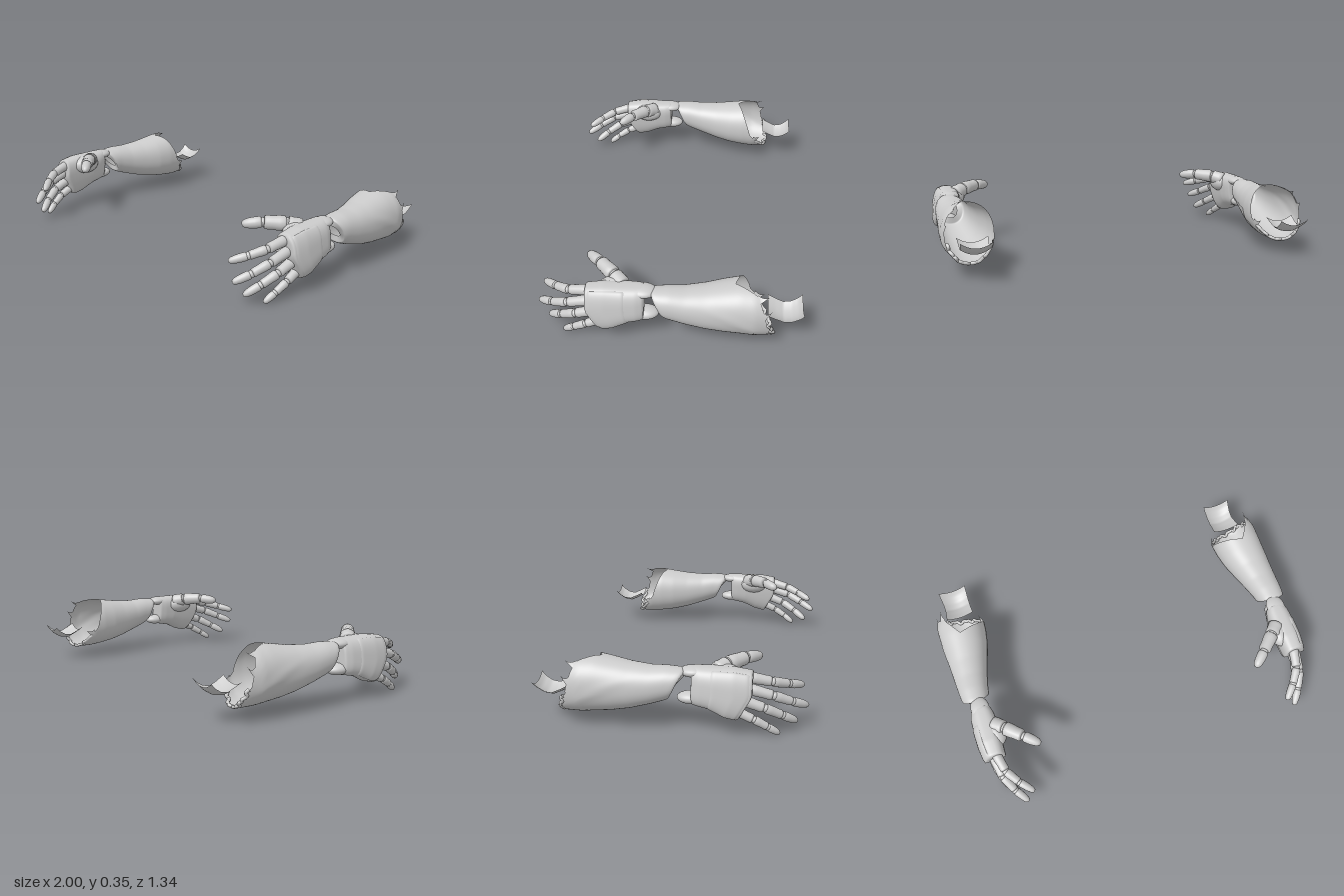
import * as THREE from 'three';
import { mergeVertices } from 'three/addons/utils/BufferGeometryUtils.js';

const V = (x, y, z) => new THREE.Vector3(x, y, z);
const material = new THREE.MeshStandardMaterial({ color: 0xcccccc, side: THREE.DoubleSide });

// Piecewise interpolation in rows of [key, value, value...]
function sample(rows, t) {
  let i = 0;
  while (i < rows.length - 2 && t > rows[i + 1][0]) i++;
  const a = rows[i], b = rows[i + 1];
  const k = THREE.MathUtils.clamp((t - a[0]) / (b[0] - a[0]), 0, 1);
  return a.slice(1).map((v, j) => THREE.MathUtils.lerp(v, b[j + 1], k));
}

// Surface grid from a rule (u, v) -> point
function surface(nu, nv, rule) {
  const g = new THREE.PlaneGeometry(1, 1, nu, nv);
  const uv = g.attributes.uv, p = g.attributes.position;
  for (let i = 0; i < p.count; i++) p.setXYZ(i, ...rule(uv.getX(i), uv.getY(i)));
  g.deleteAttribute('uv');
  g.deleteAttribute('normal');
  const m = mergeVertices(g, 1e-5);
  m.computeVertexNormals();
  return m;
}

// Point on a rounded section with the given limits; power below 1 squares it off
function section([x0, x1, y0, y1], angle, swell, power) {
  const round = (v) => Math.sign(v) * Math.abs(v) ** power;
  return [(x0 + x1) / 2 + (x1 - x0) / 2 * round(Math.cos(angle)) * swell,
    (y0 + y1) / 2 + (y1 - y0) / 2 * round(Math.sin(angle)) * swell];
}

// Forearm sections: z, inner/outer x limits, low/high y limits
const sections = [
  [-0.56, 0.79, 0.95, 0.09, 0.31], [-0.5, 0.75, 0.98, 0.07, 0.345], [-0.42, 0.725, 0.998, 0.07, 0.36],
  [-0.35, 0.73, 0.996, 0.077, 0.36], [-0.27, 0.745, 0.994, 0.087, 0.347], [-0.18, 0.772, 0.991, 0.106, 0.333],
  [-0.08, 0.8, 0.987, 0.137, 0.326], [0.0, 0.817, 0.982, 0.165, 0.33], [0.09, 0.83, 0.975, 0.18, 0.325],
];
// Rear rim depth by angle: 0 outer, 90 top, 180 inner, 270 bottom
const rim = [[0, -0.48], [35, -0.455], [60, -0.435], [75, -0.38], [90, -0.325], [115, -0.345], [140, -0.365],
  [180, -0.4], [215, -0.46], [250, -0.5], [290, -0.515], [325, -0.515], [360, -0.48]];

function skin(angle, z, swell = 1) {
  // diagonal muscle ridge along the outer face
  const side = Math.atan2(Math.sin(angle), Math.cos(angle));
  const ridge = 0.03 * Math.exp(-(((side - 0.2 - (z + 0.25) * 3) / 0.2) ** 2) - ((z + 0.33) / 0.12) ** 2);
  return [...section(sample(sections, z), angle, swell + ridge, 0.92), z];
}

function rearZ(angle) {
  const deg = THREE.MathUtils.radToDeg(angle);
  return sample(rim, deg)[0] + (deg > 180 ? 0.01 * Math.sin(angle * 17) * Math.sin(angle * 5) : 0);
}

function forearm() {
  return surface(72, 40, (u, v) => {
    const a = (u % 1) * Math.PI * 2;
    const front = 0.045 + 0.04 * Math.sin(a);
    const z = THREE.MathUtils.lerp(rearZ(a), front, Math.min(v / 0.92, 1));
    const close = Math.max(0, (v - 0.88) / 0.12);
    return skin(a, z, Math.sqrt(1 - 0.75 * close * close));
  });
}

// Hand sections, leaning inward at the top, with a front edge slanting back below
const handSections = [[0.1, 0.85, 0.95, 0.155, 0.335], [0.16, 0.835, 0.968, 0.145, 0.335], [0.22, 0.83, 0.972, 0.135, 0.335],
  [0.32, 0.835, 0.972, 0.1, 0.335], [0.41, 0.84, 0.962, 0.085, 0.322]];

function handSkin(angle, z, swell) {
  const [x, y] = section(sample(handSections, z), angle, swell, 0.7);
  const slant = Math.max(0, 0.215 - y) * 0.55 * THREE.MathUtils.clamp((z - 0.12) / 0.28, 0, 1);
  return [x - (y - 0.21) * 0.12, y, z - slant];
}

function hand() {
  return surface(56, 36, (u, v) => {
    const end = Math.max(0, Math.abs(v - 0.5) - 0.42) / 0.08;
    const z = 0.12 + 0.29 * THREE.MathUtils.clamp((v - 0.05) / 0.9, 0, 1);
    return handSkin((u % 1) * Math.PI * 2, z, Math.sqrt(Math.max(0, 1 - end ** 2.5)));
  });
}

// Rounded link between two points, shrinking from r0 to r1
function link(a, b, r0, r1, tip = false) {
  const len = a.distanceTo(b);
  const shape = tip
    ? [[0, 0], [0.75, 0.01], [1, 0.1], [1.03, 0.35], [1, 0.6], [0.85, 0.83], [0.5, 0.97], [0, 1]]
    : [[0, 0], [0.75, 0.01], [0.97, 0.07], [1, 0.3], [0.96, 0.6], [1, 0.84], [0.9, 0.92], [0, 0.93]];
  const g = new THREE.LatheGeometry(shape.map(([r, t]) =>
    new THREE.Vector2(r * THREE.MathUtils.lerp(r0, r1, t), t * len)), 20);
  g.applyQuaternion(new THREE.Quaternion().setFromUnitVectors(V(0, 1, 0), b.clone().sub(a).normalize()));
  return g.translate(a.x, a.y, a.z);
}

function ball(p, rx, ry = rx, rz = rx) {
  return new THREE.SphereGeometry(1, 24, 16).scale(rx, ry, rz).translate(p.x, p.y, p.z);
}

function armParts() {
  const parts = [];
  const add = (name, geometry) => parts.push([name, geometry]);

  add('forearmShell', forearm());

  // Rolled lip along the lower rear rim
  const lip = [];
  for (let i = 0; i <= 24; i++) {
    const a = THREE.MathUtils.degToRad(205 + i * 6);
    lip.push(V(...skin(a, rearZ(a), 0.97)));
  }
  add('rearLip', new THREE.TubeGeometry(new THREE.CatmullRomCurve3(lip), 60, 0.009, 8));

  // Torn spikes on the rim
  for (const [deg, reach, rise] of [[52, 0.06, 0.03], [15, 0.045, 0.04], [200, 0.05, 0.03]]) {
    const a = THREE.MathUtils.degToRad(deg), z = rearZ(a);
    add('rimSpike', surface(8, 6, (u, v) => {
      const p = skin(a + (0.5 - u) * 0.4 * (1 - v) ** 1.6, z + 0.01 - reach * v, 0.99);
      p[1] += rise * v * v;
      return p;
    }));
  }

  // Curved strap behind the elbow
  const strapRows = [[-0.665, 0.19], [-0.645, 0.168], [-0.61, 0.146], [-0.57, 0.14], [-0.53, 0.158], [-0.49, 0.18]];
  add('elbowStrap', surface(16, 24, (u, v) => {
    const z = -0.665 + v * 0.175, s = u * 2 - 1;
    return [0.85 + s * (0.08 - 0.006 * Math.sin(v * 3)), sample(strapRows, z)[0] + 0.028 * s * s, z];
  }));

  // Hand with a forked wrist and a raised plate over its back
  add('handBody', hand());
  add('wristProngUpper', ball(V(0.89, 0.308, 0.125), 0.052, 0.027, 0.07));
  add('wristProngLower', ball(V(0.905, 0.18, 0.115), 0.048, 0.03, 0.068));
  add('backOfHandPlate', surface(28, 20, (u, v) => {
    const edge = Math.min(1, Math.min(u, 1 - u, v, 1 - v) / 0.06);
    return handSkin(THREE.MathUtils.lerp(-1.15, 1.15, u), 0.21 + 0.19 * v, 0.97 + 0.07 * edge);
  }));

  // Fingers, index to little, each as base, two knuckles and tip
  const fingers = {
    indexFinger: [V(0.885, 0.29, 0.39), V(0.862, 0.265, 0.5), V(0.812, 0.24, 0.575), V(0.75, 0.215, 0.645)],
    middleFinger: [V(0.905, 0.24, 0.39), V(0.89, 0.205, 0.51), V(0.85, 0.165, 0.595), V(0.8, 0.13, 0.67)],
    ringFinger: [V(0.915, 0.185, 0.36), V(0.905, 0.145, 0.47), V(0.87, 0.1, 0.55), V(0.825, 0.055, 0.62)],
    littleFinger: [V(0.92, 0.135, 0.32), V(0.92, 0.09, 0.42), V(0.905, 0.05, 0.485), V(0.885, 0.011, 0.54)],
  };
  Object.entries(fingers).forEach(([name, p], f) => {
    const r = f === 3 ? 0.025 : 0.028;
    for (let i = 0; i < 3; i++) {
      add(name + 'Link', link(p[i], p[i + 1], r - i * 0.003, r - 0.003 - i * 0.003, i === 2));
      add(name + 'Joint', ball(p[i], r * 0.7));
    }
  });

  // Thumb
  const thumb = [V(0.85, 0.3, 0.23), V(0.795, 0.318, 0.28), V(0.71, 0.325, 0.362), V(0.635, 0.313, 0.43)];
  add('thumbMound', ball(V(0.845, 0.28, 0.27), 0.055, 0.055, 0.085));
  add('thumbLink', link(thumb[0], thumb[1], 0.044, 0.04));
  add('thumbLink', link(thumb[1], thumb[2], 0.04, 0.034));
  add('thumbLink', link(thumb[2], thumb[3], 0.03, 0.025, true));
  add('thumbJoint', ball(thumb[1], 0.03));
  add('thumbJoint', ball(thumb[2], 0.023));
  return parts;
}

// Mirror in x and restore the winding
function mirrored(geometry) {
  const g = geometry.clone().scale(-1, 1, 1);
  const index = [];
  for (let i = 0; i < g.index.count; i += 3) {
    for (const j of [i, i + 2, i + 1]) index.push(g.index.getX(j));
  }
  g.setIndex(index);
  return g;
}

export function createModel() {
  const model = new THREE.Group();
  model.name = 'pairOfArms';
  const left = new THREE.Group(), right = new THREE.Group();
  left.name = 'leftArm';
  right.name = 'rightArm';
  for (const [name, geometry] of armParts()) {
    for (const [group, g] of [[left, geometry], [right, mirrored(geometry)]]) {
      const mesh = new THREE.Mesh(g, material);
      mesh.name = name;
      group.add(mesh);
    }
  }
  model.add(left, right);
  return model;
}
